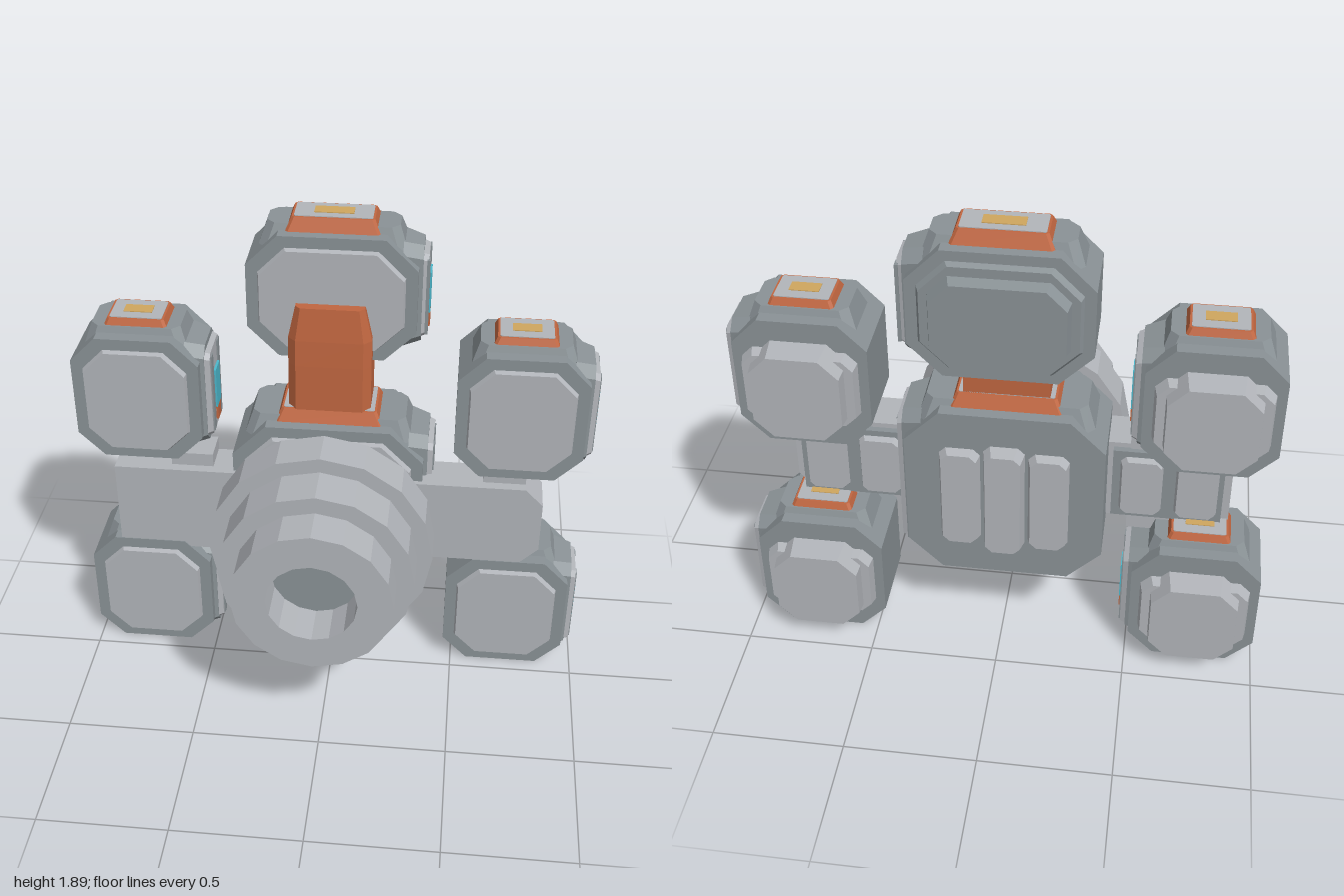
import * as THREE from 'three';

const mat = (name, color) => {
  const m = new THREE.MeshStandardMaterial({ color });
  m.name = name;
  return m;
};

export function createModel() {
  const model = new THREE.Group();
  model.name = 'podStation';
  const dark = mat('darkGrey', 0x8a9296), light = mat('lightGrey', 0xb2b5ba);
  const orange = mat('orange', 0xc06640), cyan = mat('cyan', 0x4cb8cc), gold = mat('gold', 0xcfa65e);

  const add = (parent, name, geo, material) => {
    const mesh = new THREE.Mesh(geo, material);
    mesh.name = name;
    parent.add(mesh);
    return mesh;
  };

  // Flat-faced solid through matching convex cross-sections, counter-clockwise seen from the last one
  const loft = (rings) => {
    const p = [], n = rings[0].length;
    const tri = (...v) => v.forEach((q) => p.push(...q));
    for (let k = 0; k < rings.length - 1; k++) {
      for (let i = 0; i < n; i++) {
        const j = (i + 1) % n, a = rings[k], b = rings[k + 1];
        tri(a[i], a[j], b[j]);
        tri(a[i], b[j], b[i]);
      }
    }
    const first = rings[0], last = rings[rings.length - 1];
    for (let i = 1; i < n - 1; i++) {
      tri(first[0], first[i + 1], first[i]);
      tri(last[0], last[i], last[i + 1]);
    }
    const g = new THREE.BufferGeometry();
    g.setAttribute('position', new THREE.Float32BufferAttribute(p, 3));
    g.computeVertexNormals();
    return g;
  };

  // Rectangle with cut corners
  const octagon = (w, h, c, z) => {
    const x = w / 2, y = h / 2;
    return [[x, c - y], [x, y - c], [x - c, y], [c - x, y], [-x, y - c], [-x, c - y], [c - x, -y], [x - c, -y]]
      .map(([a, b]) => [a, b, z]);
  };

  // Cut-corner slab along z; the insets shrink its back and front outlines
  const slab = (w, h, c, z0, z1, inset0 = 0, inset1 = 0) => loft([
    octagon(w - 2 * inset0, h - 2 * inset0, c, z0),
    octagon(w - 2 * inset1, h - 2 * inset1, c, z1),
  ]);
  const box = (w, h, d, x, y, z) => new THREE.BoxGeometry(w, h, d).translate(x, y, z);
  const up = (g) => g.rotateX(-Math.PI / 2);
  const side = (g) => g.rotateY(Math.PI / 2);

  // Armoured module: cut-corner shell, front plate, hatch on top, window panel on its +x side
  const makePod = (name, w, h, d, c, hatchW, hatchD, x, y, z) => {
    const pod = new THREE.Group();
    pod.name = name;
    pod.position.set(x, y, z);
    model.add(pod);
    const X = w / 2, Y = h / 2, Z = d / 2;
    add(pod, 'shell', slab(w, h, c, -Z, Z), dark);
    add(pod, 'frontPlate', slab(w - 0.09, h - 0.09, c * 0.85, Z, Z + 0.02, 0, 0.006), light);

    // Top hatch
    add(pod, 'topCap', up(slab(w - 0.09, d - 0.06, 0.03, Y - 0.06, Y + 0.025, 0, 0.03)), dark);
    add(pod, 'hatchFrame', up(slab(hatchW, hatchD, 0.01, Y, Y + 0.05, 0, 0.022)), orange);
    add(pod, 'hatchPlate', up(slab(hatchW - 0.06, hatchD - 0.06, 0.005, Y + 0.04, Y + 0.053)), light);
    add(pod, 'hatchMark', box(hatchW * 0.42, 0.004, 0.055, 0, Y + 0.054, 0), gold);

    // Side window panel
    const ph = h - 0.14;
    add(pod, 'sideCap', side(slab(d - 0.05, h - 0.06, 0.04, X - 0.06, X + 0.015, 0, 0.02)), dark);
    add(pod, 'sidePanel', side(slab(d - 0.09, ph, 0.02, X, X + 0.035, 0, 0.012)), light);
    for (const s of [-1, 1]) {
      add(pod, 'sideStrip', box(0.012, ph - 0.05, 0.035, X + 0.034, 0, s * 0.065), dark);
    }
    add(pod, 'window', box(0.009, 0.165, 0.078, X + 0.041, 0, 0), cyan);
    add(pod, 'windowSill', box(0.009, 0.06, 0.055, X + 0.041, -0.115, 0), orange);
    return pod;
  };

  // Four corner modules
  for (const x of [-0.755, 0.71]) {
    for (const y of [0.26, 1.19]) {
      const pod = makePod('cornerPod', 0.49, 0.52, 0.31, 0.1, 0.26, 0.2, x, y, -0.215);
      add(pod, 'backStep', slab(0.42, 0.3, 0.04, -0.2, -0.15, 0.01), light);
      add(pod, 'backPlate', slab(0.345, 0.36, 0.07, -0.255, -0.15, 0.01), light);
    }
  }

  // Upper module
  const head = makePod('upperPod', 0.64, 0.495, 0.26, 0.12, 0.35, 0.18, -0.02, 1.588, -0.33);
  add(head, 'backStep', slab(0.56, 0.42, 0.1, -0.15, -0.13, 0.01), dark);
  add(head, 'backPlate', slab(0.49, 0.34, 0.07, -0.195, -0.13, 0.015), dark);

  // Central module with ribbed back
  const core = makePod('corePod', 0.74, 0.74, 0.33, 0.13, 0.41, 0.24, -0.02, 0.74, -0.21);
  for (const i of [-1, 0, 1]) {
    const rib = add(core, 'backRib', slab(0.155, i ? 0.44 : 0.48, 0.025, i ? -0.2 : -0.22, -0.16, 0.012), light);
    rib.position.x = i * 0.165;
  }

  // Orange post, rising in front of the upper module
  const postRing = (y, w, back, front, cut) => [
    [w, y, back], [-w, y, back], [-w, y, front - cut],
    [cut - w, y, front], [w - cut, y, front], [w, y, front - cut],
  ];
  const post = add(model, 'post', loft([
    postRing(1.12, 0.158, -0.3, -0.11, 0.03),
    postRing(1.345, 0.158, -0.3, -0.115, 0.03),
    postRing(1.45, 0.158, -0.22, -0.12, 0.03),
    postRing(1.58, 0.13, -0.175, -0.135, 0.02),
  ]), orange);
  post.position.x = -0.02;

  // Cross arm, cut at its +x end
  const armRing = (z) => [[0.82, 0.62], [0.82, 0.83], [0.75, 0.9], [-0.86, 0.9], [-0.86, 0.55], [0.75, 0.55]]
    .map(([a, b]) => [a, b, z]);
  add(model, 'crossArm', loft([armRing(-0.19), armRing(-0.025)]), light);
  for (const s of [-1, 1]) {
    add(model, 'armBacking', box(0.42, 0.31, 0.03, -0.02 + s * 0.6, 0.725, -0.2), dark);
    for (const x of [0.5, 0.71]) {
      const plate = add(model, 'armBackPlate', slab(0.17, 0.27, 0.02, -0.24, -0.2, 0.012), light);
      plate.position.set(-0.02 + s * x, 0.725, 0);
    }
  }

  // Struts joining the arm to the corner modules
  for (const x of [-0.555, 0.667]) {
    add(model, 'strut', box(0.165, 0.46, 0.13, x, 0.725, -0.13), light);
  }

  // Turned parts lying along z, 16 flat sides
  const turned = (name, profile, material) => {
    const g = new THREE.LatheGeometry(profile.map(([r, z]) => new THREE.Vector2(r, z)), 16).toNonIndexed();
    g.computeVertexNormals();
    add(model, name, g.rotateX(Math.PI / 2), material).position.set(-0.02, 0.725, 0);
  };
  turned('collar', [[0.265, -0.06], [0.265, 0.07]], dark);
  turned('steppedBarrel', [
    [0.001, 0.058], [0.428, 0.058], [0.428, 0.215], [0.37, 0.215], [0.37, 0.378],
    [0.303, 0.378], [0.303, 0.525], [0.17, 0.525], [0.17, 0.36],
  ], light);
  turned('barrelFloor', [[0.172, 0.36], [0, 0.36]], dark);

  return model;
}
